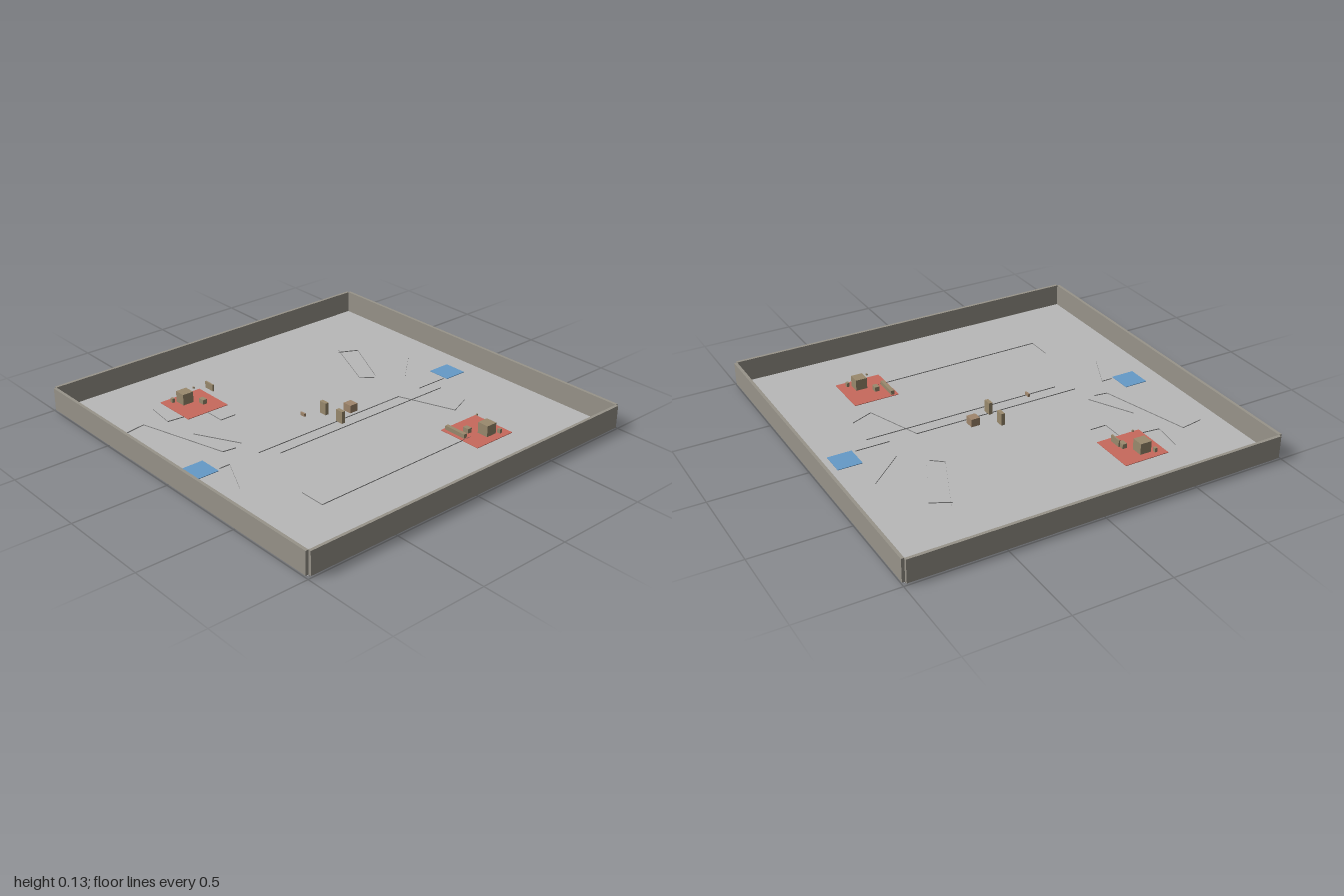
import * as THREE from 'three';

export function createModel() {
  const group = new THREE.Group();
  const mat = (name, color, side = THREE.FrontSide) => {
    const m = new THREE.MeshStandardMaterial({ color, side });
    m.name = name;
    return m;
  };
  const floorGrey = mat('floor grey', 0xb8b8b8);
  const seamGrey = mat('seam grey', 0x8c8c8c, THREE.DoubleSide);
  const wallStone = mat('wall stone', 0x98948a);
  const red = mat('base red', 0xc8695c);
  const blue = mat('spawn blue', 0x659ac8);
  const tan = mat('crate tan', 0x9a8a6e);
  const brown = mat('crate brown', 0xa0866c);

  // Box given by centre x/z, bottom y and size
  const box = (name, m, x, y, z, w, h, d) => {
    const mesh = new THREE.Mesh(new THREE.BoxGeometry(w, h, d), m);
    mesh.name = name;
    mesh.position.set(x, y + h / 2, z);
    group.add(mesh);
  };
  const F = 0.01; // top of the floor

  // Floor and surrounding walls
  box('floor', floorGrey, 0, 0, 0, 1.97, F, 1.97);
  for (const s of [-1, 1]) {
    box('endWall', wallStone, 0, F, s * 0.992, 1.97, 0.12, 0.016);
    box('sideWall', wallStone, s * 0.992, F, 0, 0.016, 0.12, 1.97);
  }

  for (const s of [-1, 1]) {
    // Coloured ground pads
    box('spawnPad', blue, 0, F, s * 0.818, 0.128, 0.003, 0.128);
    box('basePad', red, s * 0.578, F, s * -0.435, 0.246, 0.003, 0.246);
    // Objects on each base
    box('largeCrate', tan, s * 0.625, F, s * -0.457, 0.062, 0.062, 0.062);
    box('smallCrate', tan, s * 0.553, F, s * -0.395, 0.035, 0.028, 0.025);
    box('cornerBlock', tan, s * 0.663, F, s * -0.507, 0.018, 0.025, 0.014);
    box('marker', tan, s * 0.576, 0.1, s * -0.433, 0.008, 0.008, 0.008);
    // Centre pillars
    box('centrePillar', tan, s * 0.062, F, 0, 0.044, 0.065, 0.02);
  }
  box('lowBarrier', tan, 0.529, F, -0.34, 0.128, 0.025, 0.019);
  box('raisedBoard', tan, -0.578, 0.062, 0.333, 0.064, 0.036, 0.008);
  box('centreCrate', brown, 0, F, -0.122, 0.05, 0.042, 0.048);
  box('hangingBlock', brown, 0, 0.085, 0.19, 0.03, 0.016, 0.01);

  // Very low upright seams across the floor
  const seams = [
    [[0.05, 0.51], [0.05, -0.41], [0.35, -0.52], [0.3, -0.64]],
    [[0.47, 0.59], [0.61, 0.59], [0.6, -0.37]],
    [[-0.59, -0.56], [-0.25, -0.41], [-0.2, -0.47]],
    [[-0.26, -0.78], [-0.09, -0.59]],
    [[0.05, -0.56], [0.05, -0.74]],
    [[-0.31, 0.63], [-0.08, 0.51]],
    [[-0.66, 0.63], [-0.5, 0.65], [-0.49, 0.56]],
    [[-0.45, 0.44], [-0.34, 0.44], [-0.34, 0.35]],
    [[0.05, 0.74], [0.05, 0.68], [0.26, 0.78]],
    [[0.12, -0.65], [0.12, 0.43]],
    [[-0.06, 0.56], [-0.07, 0.63], [-0.55, 0.76], [-0.53, 0.88]],
    [[-0.21, -0.49], [-0.52, -0.64], [-0.57, -0.54]],
  ];
  const H = 0.005;
  for (const path of seams) {
    for (let i = 1; i < path.length; i++) {
      const [ax, az] = path[i - 1], [bx, bz] = path[i];
      const strip = new THREE.Mesh(
        new THREE.PlaneGeometry(Math.hypot(bx - ax, bz - az), H), seamGrey);
      strip.name = 'floorSeam';
      strip.position.set((ax + bx) / 2, F + H / 2, (az + bz) / 2);
      strip.rotation.y = Math.atan2(az - bz, bx - ax);
      group.add(strip);
    }
  }
  return group;
}
